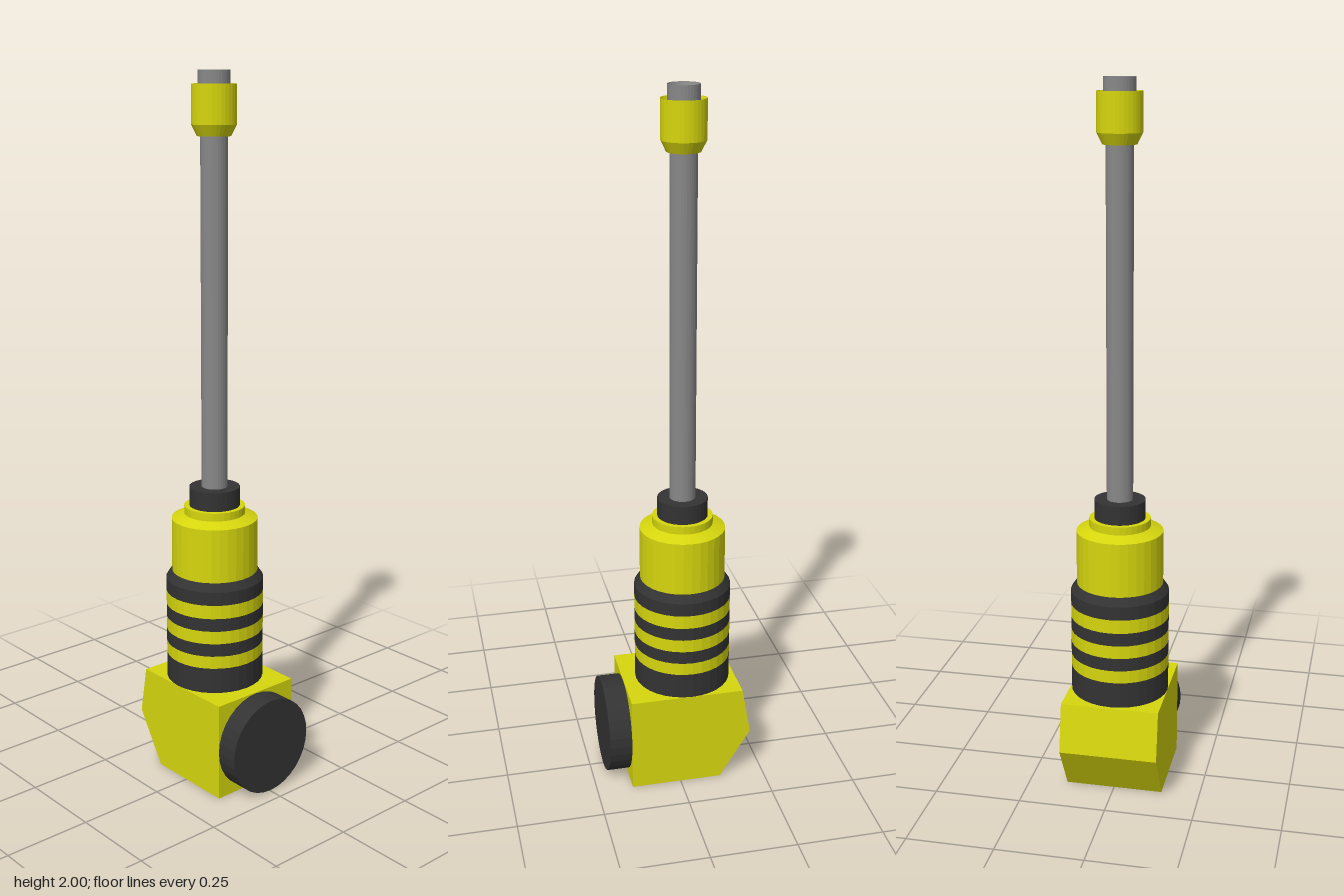
import * as THREE from 'three';

const AXIS_X = -0.035;
const mat = (color) => new THREE.MeshStandardMaterial({ color, flatShading: true });

export function createModel() {
  const model = new THREE.Group();
  const yellow = mat(0xd6d60e), dark = mat(0x333333), steel = mat(0x888888);

  const add = (name, geometry, material) => {
    const mesh = new THREE.Mesh(geometry, material);
    mesh.name = name;
    model.add(mesh);
    return mesh;
  };
  // Turned part on the upright axis, profile given as [radius, height] from the bottom
  const turned = (name, profile, material) => {
    const points = profile.map(([r, y]) => new THREE.Vector2(r, y));
    add(name, new THREE.LatheGeometry(points, 32), material).position.x = AXIS_X;
  };

  // Angled head block, extruded front to back
  const outline = [[-0.12, 0], [0.145, 0], [0.145, 0.285], [-0.185, 0.285], [-0.21, 0.145]];
  const shape = new THREE.Shape(outline.map(([x, y]) => new THREE.Vector2(x, y)));
  const block = new THREE.ExtrudeGeometry(shape, { depth: 0.28, bevelEnabled: false });
  block.translate(0, 0, -0.14);
  add('headBlock', block, yellow);

  // Round end cap on the side of the head
  const cap = new THREE.CylinderGeometry(0.14, 0.14, 0.065, 32);
  cap.rotateZ(Math.PI / 2);
  add('endCap', cap, dark).position.set(0.1775, 0.1425, 0);

  // Striped grip bands
  const levels = [0.285, 0.36, 0.397, 0.435, 0.473, 0.511, 0.551];
  for (let i = 0; i < levels.length - 1; i++) {
    turned(`gripBand${i + 1}`, [[0.14, levels[i]], [0.14, levels[i + 1]]], i % 2 ? yellow : dark);
  }
  turned('gripTopBand', [[0.14, 0.551], [0.14, 0.59], [0.125, 0.612], [0, 0.612]], dark);

  // Upper barrel with shoulder and flange
  turned('barrel', [
    [0.123, 0.6], [0.123, 0.768], [0.087, 0.782], [0.087, 0.805], [0, 0.805],
  ], yellow);
  turned('collar', [[0.072, 0.8], [0.072, 0.86], [0, 0.86]], dark);

  // Long rod
  turned('rod', [[0.037, 0.85], [0.037, 1.92]], steel);

  // Ring nut with a recessed top
  turned('ringNut', [
    [0.037, 1.83], [0.046, 1.83], [0.061, 1.86], [0.061, 1.965], [0.044, 1.92],
  ], yellow);

  // Hollow tip with a funnel bore and a small core
  turned('tip', [[0.043, 1.9], [0.043, 2], [0.017, 1.93]], steel);
  turned('core', [[0.018, 1.93], [0, 1.93]], yellow);

  return model;
}
